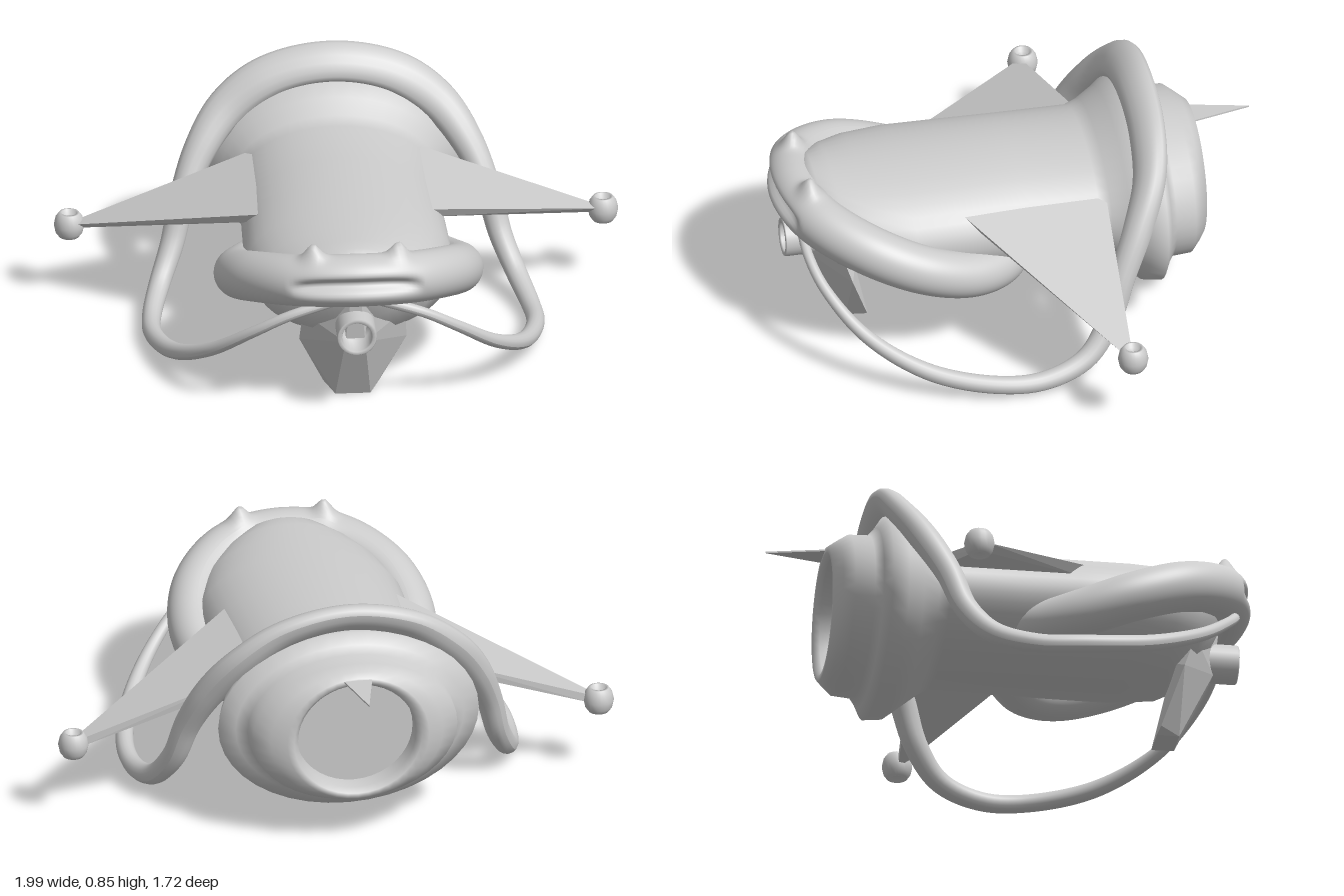
import * as THREE from 'three';
import { ConvexGeometry } from 'three/addons/geometries/ConvexGeometry.js';

const material = new THREE.MeshStandardMaterial({ color: 0xcccccc, side: THREE.DoubleSide });
const V = (x, y, z) => new THREE.Vector3(x, y, z);

function add(parent, name, geometry) {
  const mesh = new THREE.Mesh(geometry, material);
  mesh.name = name;
  parent.add(mesh);
  return mesh;
}

// Skin elliptical sections [z, halfWidth, centreY, halfHeight], ordered front to back
function loft(sections, sides = 40) {
  const pos = [], index = [];
  sections.forEach(([z, w, y, h], i) => {
    for (let j = 0; j < sides; j++) {
      const a = (j / sides) * Math.PI * 2;
      pos.push(w * Math.cos(a), y + h * Math.sin(a), z);
      if (i === sections.length - 1) continue;
      const p = i * sides + j, q = i * sides + ((j + 1) % sides);
      index.push(p, p + sides, q, q, p + sides, q + sides);
    }
  });
  const g = new THREE.BufferGeometry();
  g.setAttribute('position', new THREE.Float32BufferAttribute(pos, 3));
  g.setIndex(index);
  g.computeVertexNormals();
  return g;
}

// Tube through half a path mirrored across x = 0; the first point lies on x = 0.
// shape(offset, t) resizes each unit offset; t is 0 at the middle and 1 at either end.
function mirroredTube(half, shape, segments, sides) {
  const pts = half.map((p) => V(...p));
  const mirror = pts.slice(1).reverse().map((p) => V(-p.x, p.y, p.z));
  const path = new THREE.CatmullRomCurve3([...mirror, ...pts]);
  const g = new THREE.TubeGeometry(path, segments, 1, sides);
  const pos = g.attributes.position, v = V(0, 0, 0);
  for (let i = 0; i <= segments; i++) {
    const c = path.getPointAt(i / segments);
    for (let j = 0; j <= sides; j++) {
      const k = i * (sides + 1) + j;
      v.fromBufferAttribute(pos, k).sub(c);
      shape(v, Math.abs((2 * i) / segments - 1));
      v.add(c);
      pos.setXYZ(k, v.x, v.y, v.z);
    }
  }
  g.computeVertexNormals();
  return g;
}

export function createModel() {
  const model = new THREE.Group();
  model.name = 'fishCraft';

  // Hull from the rounded nose to the flared tail and its rim
  add(model, 'hull', loft([
    [0.77, 0.01, 0.52, 0.01], [0.75, 0.1, 0.52, 0.08], [0.71, 0.2, 0.48, 0.14],
    [0.65, 0.28, 0.44, 0.182], [0.55, 0.34, 0.42, 0.205], [0.4, 0.368, 0.415, 0.212],
    [0.2, 0.362, 0.415, 0.214], [0, 0.355, 0.415, 0.215], [-0.26, 0.353, 0.415, 0.215],
    [-0.3, 0.365, 0.414, 0.238], [-0.36, 0.4, 0.411, 0.285], [-0.42, 0.45, 0.41, 0.331],
    [-0.48, 0.468, 0.41, 0.333], [-0.505, 0.41, 0.41, 0.295], [-0.53, 0.372, 0.412, 0.268],
    [-0.6, 0.368, 0.414, 0.264], [-0.635, 0.31, 0.414, 0.248], [-0.662, 0.255, 0.414, 0.234],
    [-0.662, 0.23, 0.414, 0.215], [-0.64, 0.212, 0.414, 0.2], [-0.58, 0.21, 0.414, 0.198],
  ]));

  // Flat floor of the exhaust
  const floor = add(model, 'exhaustFloor', new THREE.CircleGeometry(1, 40));
  floor.scale.set(0.212, 0.2, 1);
  floor.rotation.y = Math.PI;
  floor.position.set(0, 0.414, -0.582);

  // Thick lip wrapped around the nose, its ends sinking into the hull
  const lip = mirroredTube([
    [0, 0.525, 0.772], [0.19, 0.51, 0.728], [0.335, 0.455, 0.575], [0.388, 0.38, 0.39],
    [0.36, 0.32, 0.22], [0.29, 0.3, 0.1], [0.19, 0.315, 0.02],
  ], (v, t) => v.multiplyScalar(0.094 - 0.012 * t), 160, 64);
  const lp = lip.attributes.position;
  for (let i = 0; i < lp.count; i++) {
    const x = Math.abs(lp.getX(i)), y = lp.getY(i), z = lp.getZ(i);
    // mouth groove
    if (x < 0.24 && z > 0.77 - 0.9 * x * x) {
      const dy = (y - 0.535 + 0.35 * x * x) / 0.024;
      lp.setZ(i, z - 0.045 * (1 - Math.pow(x / 0.24, 4)) * Math.exp(-dy * dy));
    }
    // eye bumps
    if (y > 0.55) {
      const d2 = (x - 0.152) ** 2 + (z - 0.748) ** 2;
      lp.setY(i, y + 0.05 * Math.exp(-d2 / 0.0011));
    }
  }
  lip.computeVertexNormals();
  add(model, 'lip', lip);

  // Whisker hoop: a leaning band over the tail, thinning down the sides and forward to the mouth
  add(model, 'whiskerHoop', mirroredTube([
    [0, 0.79, -0.455], [0.22, 0.745, -0.452], [0.37, 0.64, -0.43], [0.475, 0.5, -0.365],
    [0.54, 0.35, -0.295], [0.58, 0.2, -0.24], [0.63, 0.09, -0.15], [0.668, 0.042, 0],
    [0.675, 0.048, 0.17], [0.615, 0.095, 0.41], [0.5, 0.195, 0.61], [0.36, 0.315, 0.73],
    [0.24, 0.39, 0.77], [0.09, 0.44, 0.77],
  ], (v, t) => {
    const band = 1 - THREE.MathUtils.smoothstep(t, 0.1, 0.32);
    const thin = THREE.MathUtils.smoothstep(t, 0.15, 0.6);
    const lean = (v.y + v.z) * 0.5 * 0.45 * band;
    v.y -= lean;
    v.z -= lean;
    v.multiplyScalar(0.054 + 0.022 * band - 0.022 * thin - 0.014 * THREE.MathUtils.smoothstep(t, 0.6, 0.95));
  }, 200, 16));

  // Foot under the chin, with a narrow ridge at the front
  add(model, 'foot', new ConvexGeometry([-1, 1].flatMap((s) => [
    V(s * 0.062, 0, 0.6), V(s * 0.065, 0, 0.52), V(s * 0.1, 0.02, 0.53),
    V(s * 0.19, 0.22, 0.6), V(s * 0.18, 0.34, 0.64), V(s * 0.02, 0.42, 0.745),
    V(s * 0.035, 0.26, 0.725), V(s * 0.13, 0.25, 0.58),
  ])));

  // Hollow barrel above the foot
  const barrel = add(model, 'barrel', new THREE.LatheGeometry([
    [0.07, 0], [0.07, 0.134], [0.067, 0.138], [0.056, 0.138], [0.053, 0.132], [0.053, 0.05], [0, 0.05],
  ].map((p) => new THREE.Vector2(...p)), 28));
  barrel.rotation.x = Math.PI / 2;
  barrel.position.set(0, 0.32, 0.677);

  // Flat spike trailing from the exhaust rim
  add(model, 'tailSpike', new ConvexGeometry([
    V(-0.055, 0.636, -0.64), V(0.055, 0.636, -0.64), V(0, 0.636, -0.866),
    V(-0.055, 0.642, -0.64), V(0.055, 0.642, -0.64), V(0, 0.642, -0.866),
  ]));

  // Rounded pod with a dimple in each end
  const podProfile = [
    [0, -0.025], [0.022, -0.03], [0.027, -0.046], [0.036, -0.045], [0.048, -0.028], [0.054, 0],
    [0.048, 0.028], [0.036, 0.045], [0.027, 0.046], [0.022, 0.03], [0, 0.025],
  ].map((p) => new THREE.Vector2(...p));

  for (const s of [1, -1]) {
    const label = s > 0 ? 'left' : 'right';

    // Drooping side fin and its tip pod
    add(model, label + 'Fin', new ConvexGeometry([
      V(s * 0.29, 0.533, -0.29), V(s * 0.29, 0.533, 0.235), V(s * 0.93, 0.295, -0.25),
      V(s * 0.28, 0.495, -0.285), V(s * 0.28, 0.495, 0.215), V(s * 0.92, 0.268, -0.25),
      V(s * 0.93, 0.295, -0.22),
    ]));
    add(model, label + 'FinPod', new THREE.LatheGeometry(podProfile, 24))
      .position.set(s * 0.943, 0.283, -0.25);
  }

  return model;
}
